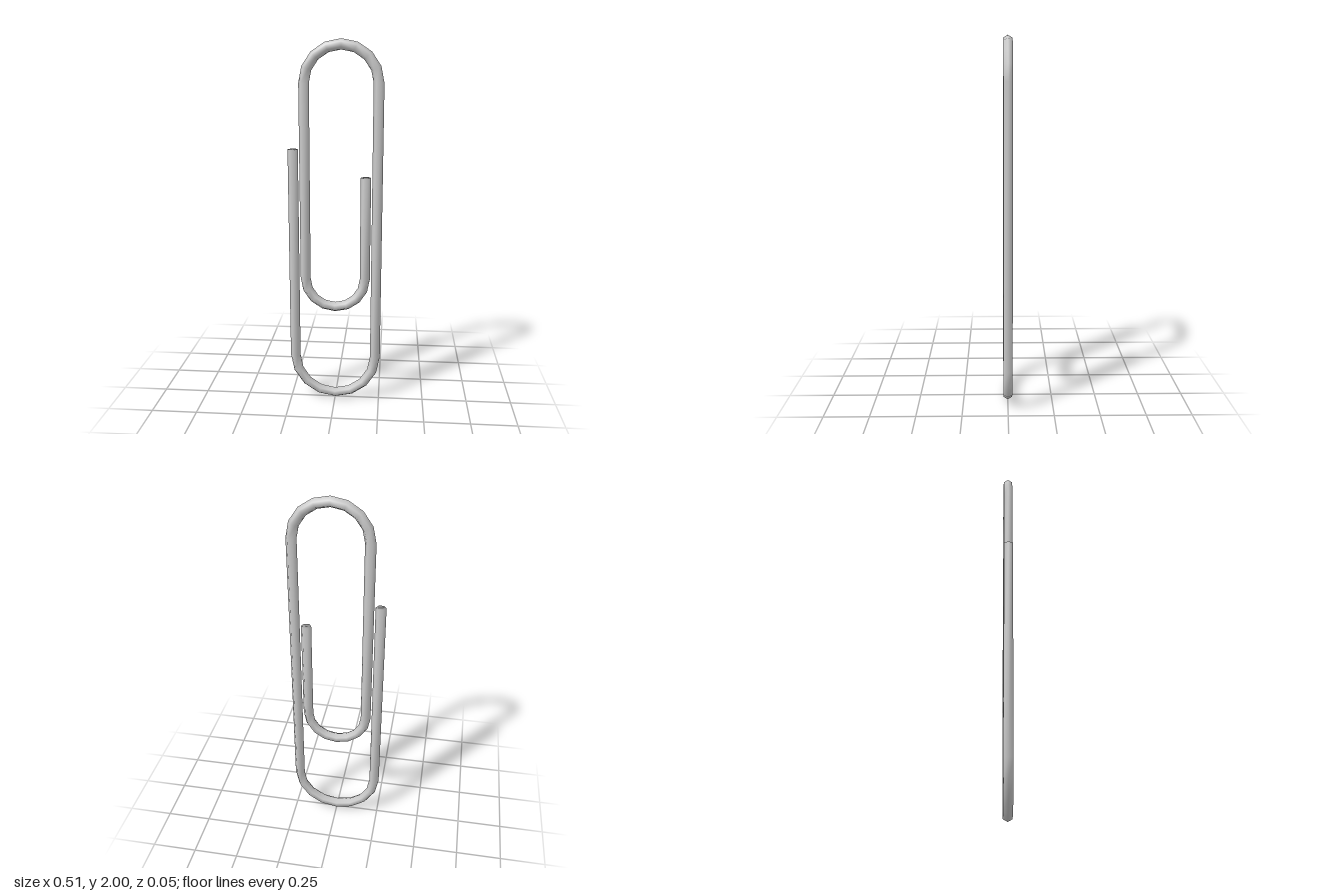
import * as THREE from 'three';

const WIRE = 0.0277; // wire radius
const SIDES = 6;     // hexagonal wire section
const STEPS = 8;     // segments per half-circle bend

// One station of the flat wire path: position plus the angle of its outward normal
const station = (x, y, angle) => ({ x, y, angle });

// Half-circle bend, counter-clockwise from the start angle
function bend(cx, cy, radius, start) {
  return Array.from({ length: STEPS + 1 }, (_, i) => {
    const a = start + (Math.PI * i) / STEPS;
    return station(cx + radius * Math.cos(a), cy + radius * Math.sin(a), a);
  });
}

// Sweep the hexagon along the path and close both ends
function sweepWire(path) {
  const positions = [], index = [];
  for (const { x, y, angle } of path) {
    for (let j = 0; j < SIDES; j++) {
      const a = (j / SIDES) * Math.PI * 2;
      const out = WIRE * Math.cos(a);
      positions.push(x + out * Math.cos(angle), y + out * Math.sin(angle), -WIRE * Math.sin(a));
    }
  }
  for (let i = 0; i < path.length - 1; i++) {
    for (let j = 0; j < SIDES; j++) {
      const k = (j + 1) % SIDES;
      const a = i * SIDES + j, b = i * SIDES + k;
      index.push(a, b, b + SIDES, a, b + SIDES, a + SIDES);
    }
  }
  const last = (path.length - 1) * SIDES;
  for (let j = 1; j < SIDES - 1; j++) {
    index.push(0, j + 1, j);
    index.push(last, last + j, last + j + 1);
  }
  const geometry = new THREE.BufferGeometry();
  geometry.setAttribute('position', new THREE.Float32BufferAttribute(positions, 3));
  geometry.setIndex(index);
  geometry.computeVertexNormals();
  return geometry;
}

export function createModel() {
  const group = new THREE.Group();
  group.name = 'paperClip';

  const path = [
    station(-0.226, 1.432, Math.PI),        // outer free end
    ...bend(0, 0.254, 0.226, Math.PI),      // large bottom bend
    ...bend(0.031, 1.777, 0.195, 0),        // top bend
    ...bend(0, 0.716, 0.164, Math.PI),      // inner bottom bend
    station(0.164, 1.284, Math.PI * 2),     // inner free end
  ];

  const wire = new THREE.Mesh(
    sweepWire(path),
    new THREE.MeshStandardMaterial({ color: 0xcccccc })
  );
  wire.name = 'bentWire';
  group.add(wire);
  return group;
}
